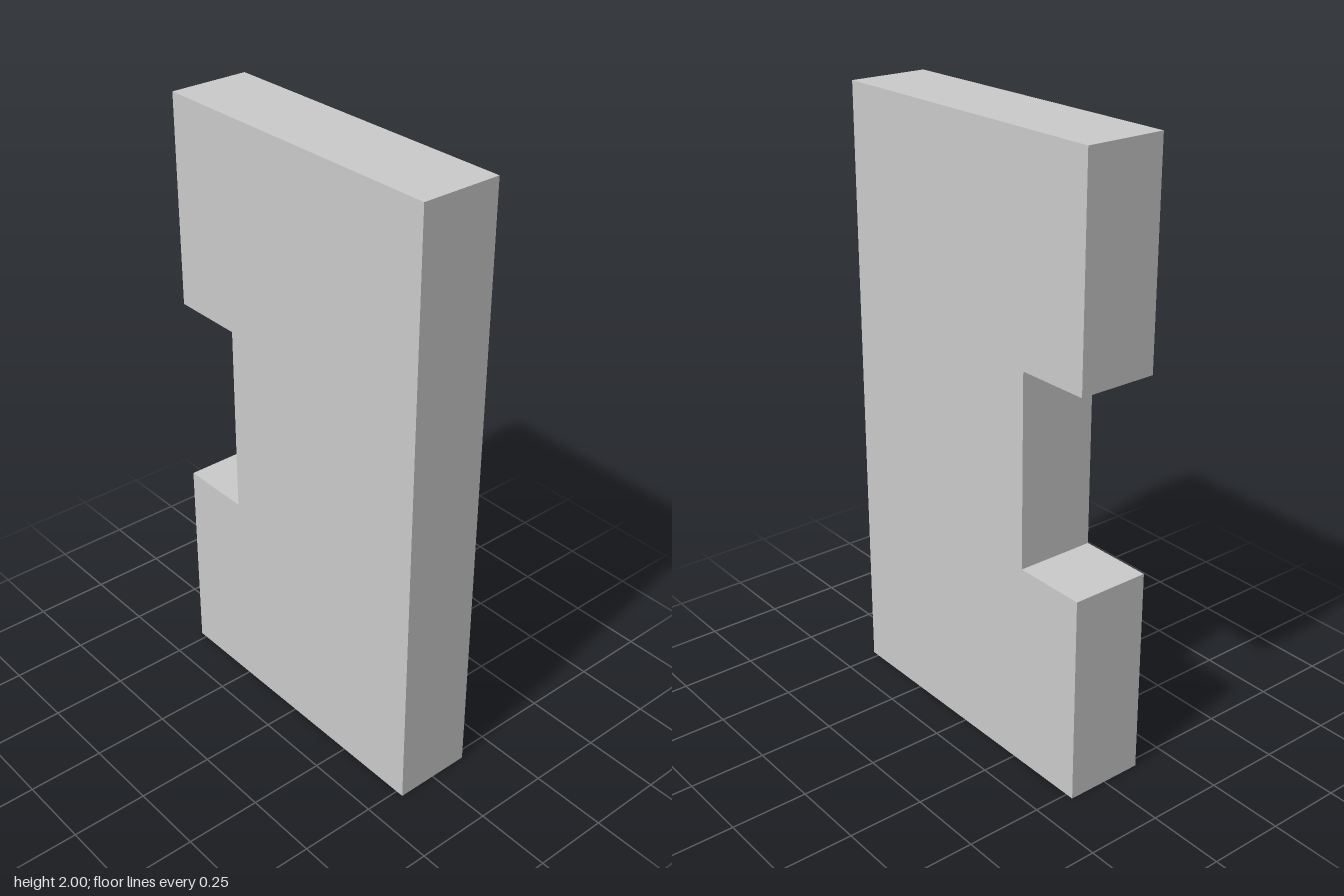
import * as THREE from 'three';

export function createModel() {
  const group = new THREE.Group();
  const halfWidth = 0.526, height = 2, depth = 0.263;
  const notchX = -0.28, notchBottom = 0.685, notchTop = 1.316;

  // Plate outline with a rectangular notch in its -x edge
  const outline = new THREE.Shape([
    [-halfWidth, 0], [halfWidth, 0], [halfWidth, height], [-halfWidth, height],
    [-halfWidth, notchTop], [notchX, notchTop], [notchX, notchBottom], [-halfWidth, notchBottom],
  ].map(([x, y]) => new THREE.Vector2(x, y)));

  const geometry = new THREE.ExtrudeGeometry(outline, { depth, bevelEnabled: false });
  geometry.translate(0, 0, -depth / 2);

  const plate = new THREE.Mesh(geometry, new THREE.MeshStandardMaterial({ color: 0xcccccc }));
  plate.name = 'notchedPlate';
  group.add(plate);
  return group;
}
